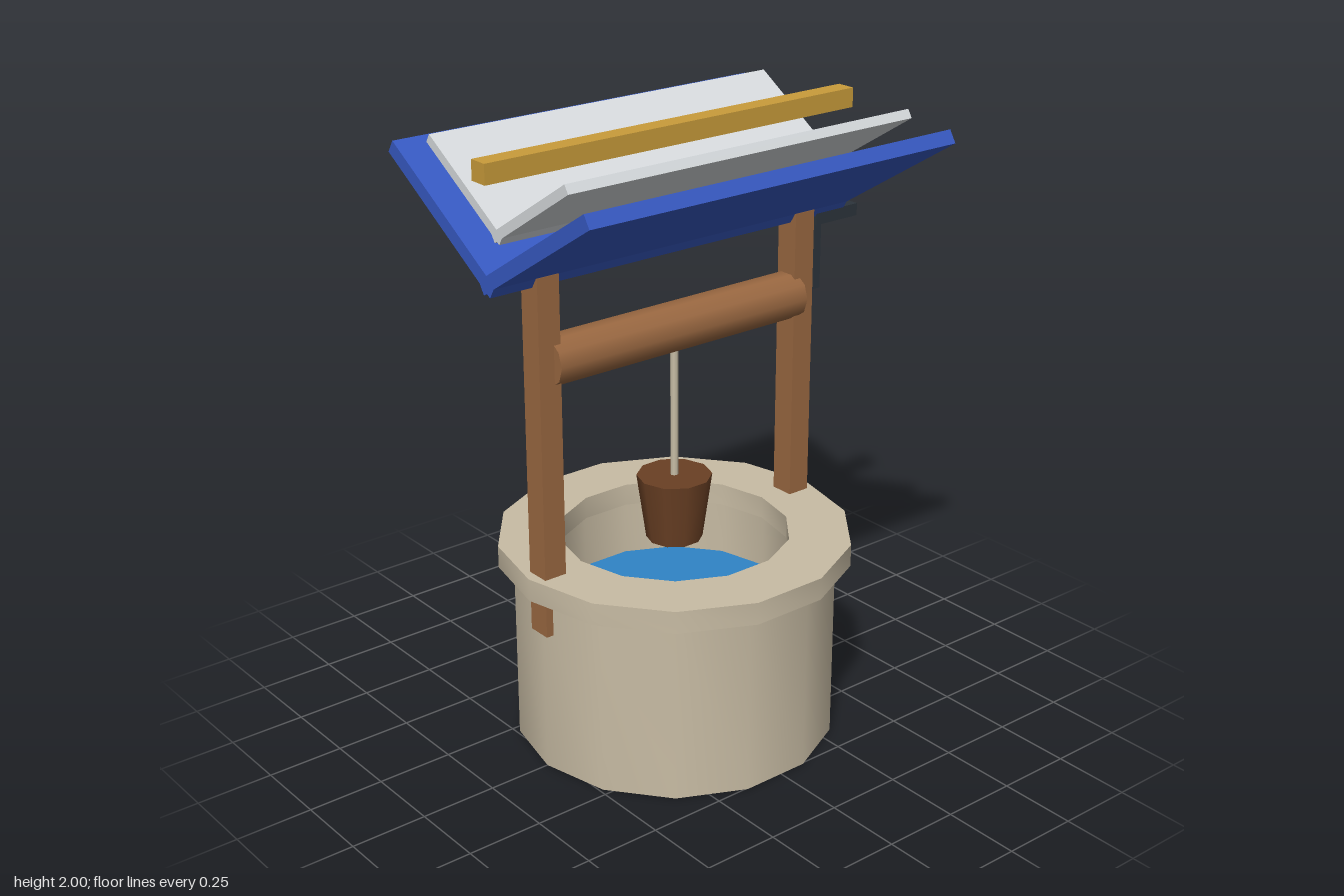
import * as THREE from 'three';
import { toCreasedNormals } from 'three/addons/utils/BufferGeometryUtils.js';

const CX = -0.022; // the well's own axis

function mat(name, color) {
  const m = new THREE.MeshStandardMaterial({ color });
  m.name = name;
  return m;
}

export function createModel() {
  const model = new THREE.Group();
  model.name = 'wishingWell';

  const stone = mat('stone', 0xc8bca4);
  const wood = mat('wood', 0x9a6841);
  const darkWood = mat('darkWood', 0x6a4024);
  const rope = mat('rope', 0xc8bea6);
  const blue = mat('roofBlue', 0x3759c2);
  const white = mat('roofWhite', 0xd6dadd);
  const gold = mat('gold', 0xc99c3a);
  const iron = mat('iron', 0x2c343b);
  const water = mat('water', 0x2f84c6);

  function add(name, geometry, material, x, y, z) {
    const mesh = new THREE.Mesh(geometry, material);
    mesh.name = name;
    mesh.position.set(x, y, z);
    model.add(mesh);
    return mesh;
  }
  const box = (name, material, w, h, d, x, y, z = 0) =>
    add(name, new THREE.BoxGeometry(w, h, d), material, x, y, z);

  // Hollow ring with square edges, corners on the x axis
  function ring(outer, inner, height) {
    const profile = [[inner, 0], [outer, 0], [outer, height], [inner, height], [inner, 0]]
      .map(([r, y]) => new THREE.Vector2(r, y));
    const g = new THREE.LatheGeometry(profile, 14).rotateY(Math.PI / 2);
    return toCreasedNormals(g, 0.75);
  }

  // Stone well, rim and water
  add('wellWall', ring(0.518, 0.378, 0.605), stone, CX, 0, 0);
  add('wellRim', ring(0.567, 0.37, 0.073), stone, CX, 0.602, 0);
  add('water', new THREE.CylinderGeometry(0.377, 0.377, 0.02, 14).rotateY(Math.PI / 2), water, CX, 0.415, 0);

  // Posts and axle
  for (const [side, s] of [['left', 1], ['right', -1]]) {
    box(side + 'Post', wood, 0.077, 1.157, 0.08, CX + s * 0.495, 1.0585);
  }
  add('axle', new THREE.CylinderGeometry(0.077, 0.077, 0.96, 10).rotateZ(Math.PI / 2), wood, CX, 1.36, 0);

  // Rope and bucket
  add('rope', new THREE.CylinderGeometry(0.0125, 0.0125, 0.46, 8), rope, CX, 1.09, 0);
  add('bucket', new THREE.CylinderGeometry(0.12, 0.09, 0.215, 10).rotateY(Math.PI / 2), darkWood, CX, 0.7575, 0);

  // Crank handle
  box('crankGrip', iron, 0.175, 0.04, 0.042, 0.6275, 1.595);
  box('crankArm', iron, 0.027, 0.23, 0.028, 0.5535, 1.475);

  // V-shaped roof: each panel is placed by its outer lower edge and tilted up outwards
  const tilt = THREE.MathUtils.degToRad(32);
  function roofLayer(name, material, width, length, thick, zEdge, yEdge) {
    const c = Math.cos(tilt), s = Math.sin(tilt);
    const z = zEdge - (length / 2) * c - (thick / 2) * s;
    const y = yEdge - (length / 2) * s + (thick / 2) * c;
    for (const [end, k] of [['front', 1], ['back', -1]]) {
      const panel = box(end + name, material, width, thick, length, CX, y, k * z);
      panel.rotation.x = -k * tilt;
    }
  }
  roofLayer('RoofPanel', blue, 1.356, 0.597, 0.045, 0.491, 1.92);
  roofLayer('RoofLining', white, 1.276, 0.42, 0.03, 0.345, 1.974);

  // Ridge beam
  box('ridgeBeam', gold, 1.385, 0.062, 0.064, CX, 1.969);

  return model;
}
